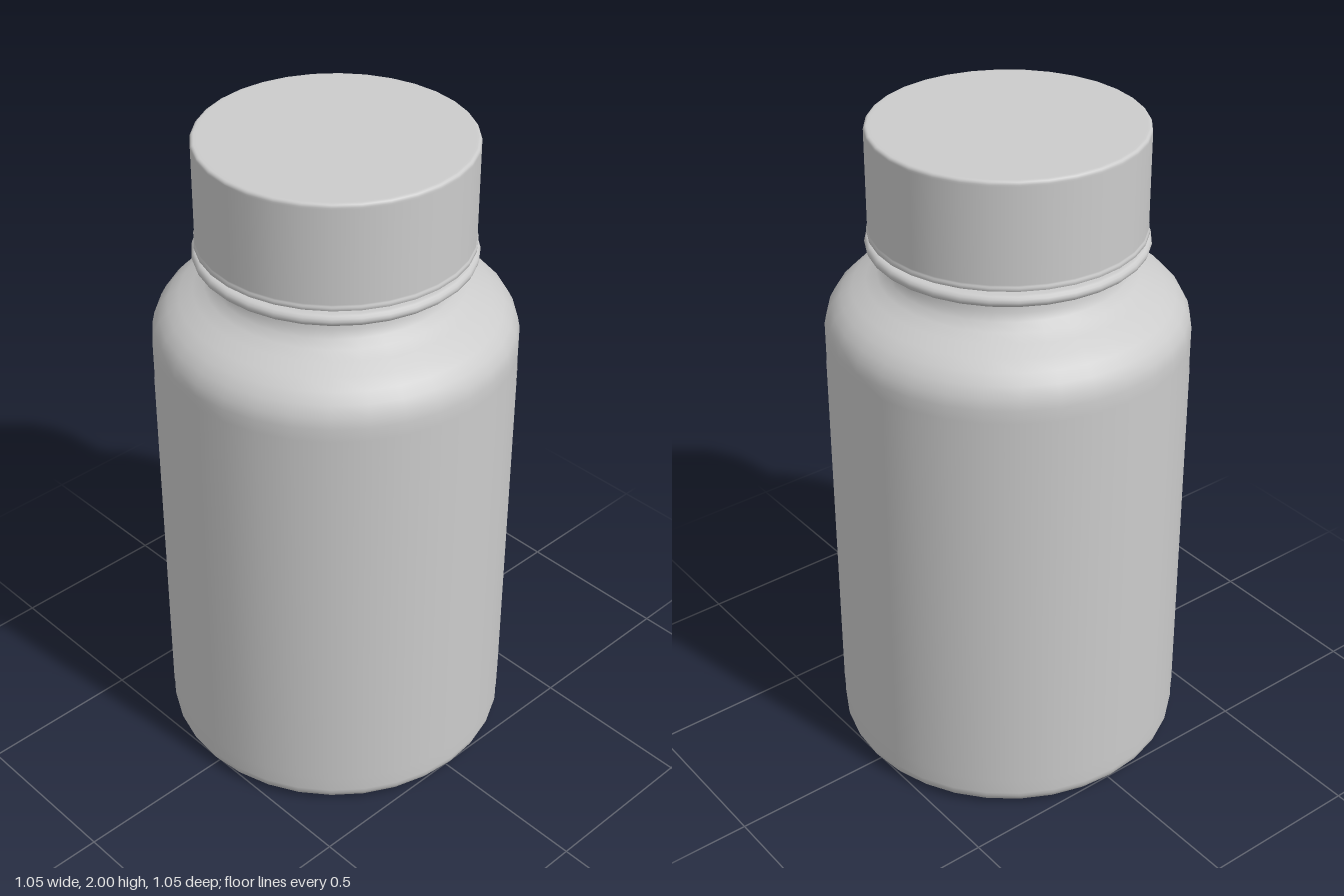
import * as THREE from 'three';

const SIDES = 32;
const material = new THREE.MeshStandardMaterial({ color: 0xcccccc });

// Revolve a [radius, height] profile, listed from the bottom up the outside
function turned(name, profile, mat = material) {
  const points = profile.map(([r, y]) => new THREE.Vector2(r, y));
  const mesh = new THREE.Mesh(new THREE.LatheGeometry(points, SIDES), mat);
  mesh.name = name;
  return mesh;
}

// Points of a quarter or half round in the profile, angles in degrees
function arc(r, y, radiusX, radiusY, from, to, steps) {
  return Array.from({ length: steps + 1 }, (_, i) => {
    const a = THREE.MathUtils.degToRad(from + ((to - from) * i) / steps);
    return [r + radiusX * Math.cos(a), y + radiusY * Math.sin(a)];
  });
}

export function createModel() {
  const group = new THREE.Group();
  group.name = 'pillBottle';

  // Body with rounded foot, domed shoulder, neck, flange and mouth
  group.add(turned('bottle', [
    [0, 0], [0.46, 0], [0.475, 0],
    ...arc(0.475, 0.05, 0.051, 0.05, -90, 0, 6),
    [0.526, 0.1], [0.526, 1.36],
    [0.526, 1.4], [0.519, 1.432], [0.503, 1.462], [0.478, 1.489],
    [0.445, 1.512], [0.405, 1.533], [0.372, 1.552], [0.35, 1.572],
    [0.34, 1.595], [0.337, 1.62], [0.337, 1.637], [0.345, 1.64],
    ...arc(0.386, 1.657, 0.017, 0.017, -90, 90, 6),
    [0.345, 1.674], [0.337, 1.677], [0.337, 1.93],
    [0.33, 1.94], [0.31, 1.94], [0.305, 1.93], [0.305, 1.6],
  ]));

  // Thin label sleeve wrapped around the straight wall
  const sleeve = material.clone();
  sleeve.side = THREE.DoubleSide;
  group.add(turned('label', [[0.5275, 0.11], [0.5275, 1.275]], sleeve));

  // Hollow screw cap with a slim bead around its lower edge
  group.add(turned('cap', [
    [0, 1.96], [0.35, 1.96], [0.355, 1.955], [0.355, 1.69], [0.357, 1.686],
    [0.392, 1.686], [0.396, 1.688], [0.396, 1.697], [0.393, 1.7],
    [0.393, 1.705], [0.393, 1.985],
    ...arc(0.383, 1.99, 0.01, 0.01, 0, 90, 4),
    [0.375, 2], [0, 2],
  ]));

  return group;
}
